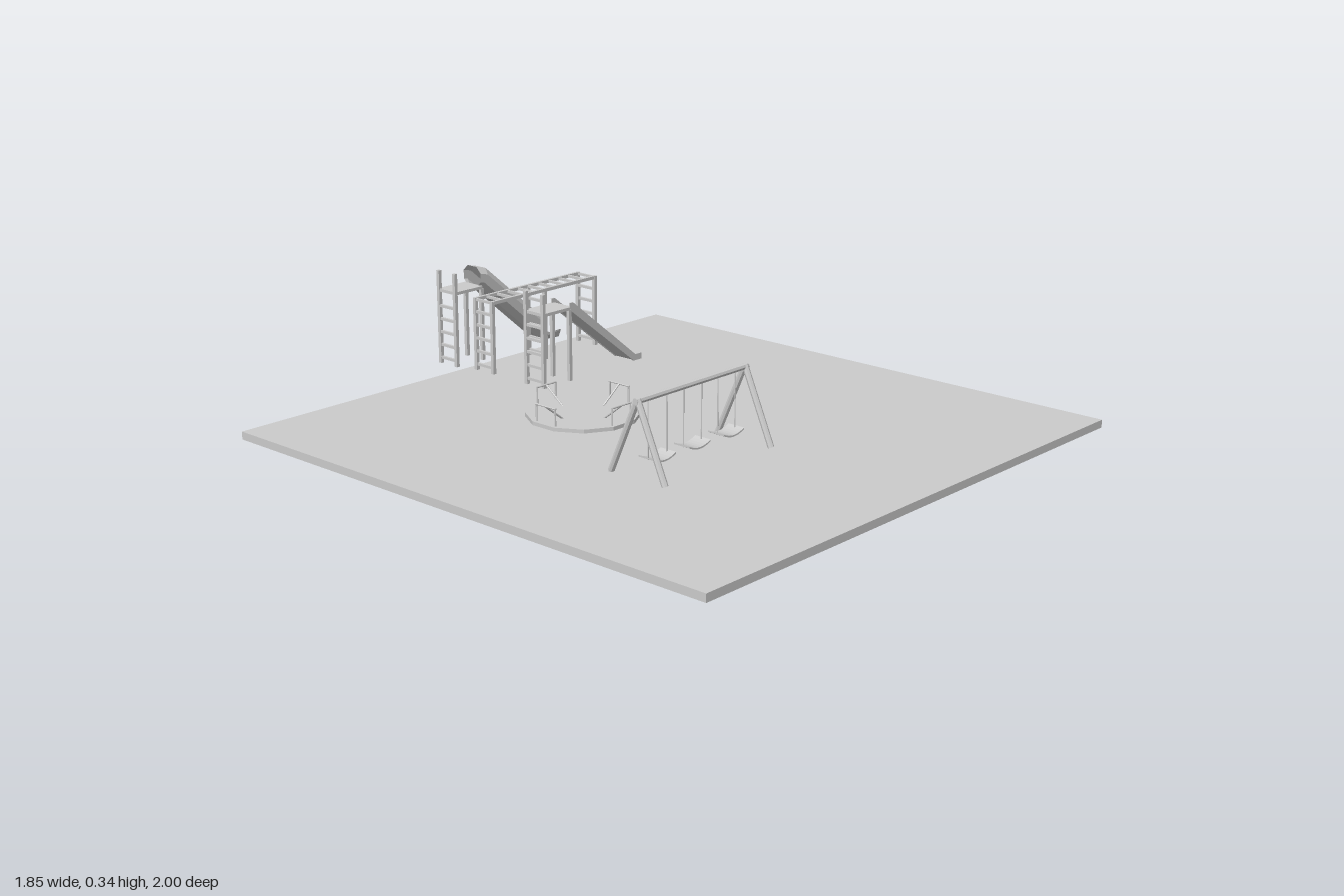
import * as THREE from 'three';

const mat = new THREE.MeshStandardMaterial({ color: 0xcccccc, flatShading: true, side: THREE.DoubleSide });
const UP = new THREE.Vector3(0, 1, 0);
const V = (x, y, z) => new THREE.Vector3(x, y, z);

function add(parent, name, geometry, x = 0, y = 0, z = 0) {
  const mesh = new THREE.Mesh(geometry, mat);
  mesh.name = name;
  mesh.position.set(x, y, z);
  parent.add(mesh);
  return mesh;
}
const box = (parent, name, w, h, d, x, y, z) => add(parent, name, new THREE.BoxGeometry(w, h, d), x, y, z);

// Round bar between two points
function bar(parent, name, a, b, r, sides = 8) {
  const dir = b.clone().sub(a);
  const mesh = add(parent, name, new THREE.CylinderGeometry(r, r, dir.length(), sides));
  mesh.position.copy(a).add(b).multiplyScalar(0.5);
  mesh.quaternion.setFromUnitVectors(UP, dir.normalize());
  return mesh;
}

function group(parent, name, x = 0, y = 0, z = 0) {
  const g = new THREE.Group();
  g.name = name;
  g.position.set(x, y, z);
  parent.add(g);
  return g;
}

// Side silhouette in x/y, given a depth centred on z
function slab(parent, name, pts, depth, z) {
  const shape = new THREE.Shape(pts.map(p => new THREE.Vector2(...p)));
  return add(parent, name, new THREE.ExtrudeGeometry(shape, { depth, bevelEnabled: false }), 0, 0, z - depth / 2);
}

// Skin between successive cross-sections
function loft(sections, closed) {
  const n = sections[0].length, pos = [], index = [];
  sections.forEach(s => s.forEach(p => pos.push(p.x, p.y, p.z)));
  for (let i = 0; i < sections.length - 1; i++) {
    for (let j = 0; j < (closed ? n : n - 1); j++) {
      const k = (j + 1) % n, a = i * n + j, b = i * n + k;
      index.push(a, b, a + n, b, b + n, a + n);
    }
  }
  const g = new THREE.BufferGeometry();
  g.setAttribute('position', new THREE.Float32BufferAttribute(pos, 3));
  g.setIndex(index);
  g.computeVertexNormals();
  return g;
}

// Two uprights with rungs, climbing along y
function ladder(parent, x, bottom, top, rungTop, half) {
  for (const s of [-1, 1]) box(parent, 'ladderPost', 0.012, top - bottom, 0.012, x, (top + bottom) / 2, s * half);
  for (let y = bottom + 0.02; y < rungTop; y += 0.045)
    box(parent, 'ladderRung', 0.009, 0.009, half * 2, x, y, 0);
}

// Platform, ladder and short posts shared by both slides
function tower(parent, bottom) {
  ladder(parent, 0.002, bottom, 0.336, 0.25, 0.039);
  box(parent, 'platform', 0.122, 0.01, 0.088, 0.061, 0.268, 0);
  for (const s of [-1, 1])
    box(parent, 'platformPost', 0.012, 0.265 - bottom, 0.012, 0.12, (0.265 + bottom) / 2, s * 0.039);
}

export function createModel() {
  const model = new THREE.Group();
  model.name = 'playground';
  box(model, 'ground', 1.85, 0.025, 1.857, 0, 0.0125, 0.0715);

  // Swing set
  const swings = group(model, 'swingSet', -0.2, 0, 0.315);
  bar(swings, 'topBar', V(-0.242, 0.255, 0), V(0.242, 0.255, 0), 0.01);
  for (const x of [-0.232, 0.232])
    for (const s of [-1, 1]) bar(swings, 'swingLeg', V(x, 0.026, s * 0.104), V(x, 0.26, 0), 0.01);
  for (const x of [-0.15, 0, 0.15]) {
    const swing = group(swings, 'swing', x, 0, 0);
    for (const s of [-1, 1]) bar(swing, 'rope', V(s * 0.039, 0.071, 0), V(s * 0.039, 0.25, 0), 0.002, 6);
    const seat = new THREE.BoxGeometry(0.092, 0.005, 0.06, 8, 1, 1);
    const p = seat.attributes.position;
    for (let i = 0; i < p.count; i++) p.setY(i, p.getY(i) + 0.012 * (p.getX(i) / 0.046) ** 2);
    seat.computeVertexNormals();
    add(swing, 'seat', seat, 0, 0.066, 0);
  }

  // Roundabout with four handles
  const spin = group(model, 'roundabout', -0.13, 0, -0.195);
  const disc = add(spin, 'disc', new THREE.CylinderGeometry(0.179, 0.179, 0.012, 12), 0, 0.037, 0);
  disc.rotation.y = Math.PI / 12;
  add(spin, 'hub', new THREE.CylinderGeometry(0.035, 0.035, 0.012, 12), 0, 0.028, 0);
  for (let i = 0; i < 4; i++) {
    const h = group(spin, 'handle');
    h.rotation.y = i * Math.PI / 2;
    for (const s of [-1, 1]) bar(h, 'handlePost', V(s * 0.04, 0.042, 0.161), V(s * 0.04, 0.098, 0.161), 0.003, 6);
    bar(h, 'handleRail', V(-0.043, 0.097, 0.161), V(0.043, 0.097, 0.161), 0.003, 6);
    bar(h, 'handleBrace', V(0, 0.096, 0.161), V(0, 0.042, 0.09), 0.003, 6);
  }

  // Open slide
  const slide = group(model, 'openSlide', 0, 0, -0.54);
  tower(slide, 0.025);
  slab(slide, 'chute', [[0.12, 0.273], [0.13, 0.273], [0.425, 0.037], [0.457, 0.037],
    [0.457, 0.031], [0.42, 0.031], [0.12, 0.265]], 0.084, 0);
  for (const s of [-1, 1])
    slab(slide, 'chuteSide', [[0.12, 0.287], [0.134, 0.287], [0.428, 0.05], [0.457, 0.05],
      [0.457, 0.029], [0.42, 0.029], [0.12, 0.263]], 0.005, s * 0.042);

  // Monkey bars
  const bars = group(model, 'monkeyBars', 0, 0, -0.78);
  for (const x of [0.004, 0.244, 0.484]) ladder(bars, x, 0.025, 0.27, 0.25, 0.04);
  for (const s of [-1, 1]) box(bars, 'overheadRail', 0.492, 0.011, 0.011, 0.244, 0.266, s * 0.04);
  for (let i = 0; i <= 10; i++) box(bars, 'overheadRung', 0.008, 0.008, 0.08, 0.004 + i * 0.048, 0.266, 0);

  // Octagonal tube slide with a flared open exit
  const tube = group(model, 'tubeSlide', 0, 0, -0.956);
  tower(tube, 0.015);
  const octagon = [[-0.022, 0], [0.022, 0], [0.042, 0.02], [0.042, 0.05],
    [0.022, 0.07], [-0.022, 0.07], [-0.042, 0.05], [-0.042, 0.02]];
  const place = (pts, x, y, angle) =>
    pts.map(([z, h]) => V(x + Math.sin(angle) * h, y + Math.cos(angle) * h, z));
  add(tube, 'tube', loft([
    place(octagon, 0.116, 0.266, 0),
    place(octagon, 0.124, 0.264, 0.5),
    place(octagon, 0.39, 0.037, 0.7),
  ], true));
  const lip = [[-0.042, 0.03], [-0.042, 0.02], [-0.022, 0], [0.022, 0], [0.042, 0.02], [0.042, 0.03]];
  const flare = [[-0.044, 0.03], [-0.043, 0.027], [-0.032, 0], [0.032, 0], [0.043, 0.027], [0.044, 0.03]];
  add(tube, 'exit', loft([
    place(lip, 0.39, 0.037, 0.7),
    place(lip, 0.425, 0.019, 0.3),
    place(flare, 0.49, 0.019, 0),
  ], false));
  return model;
}
